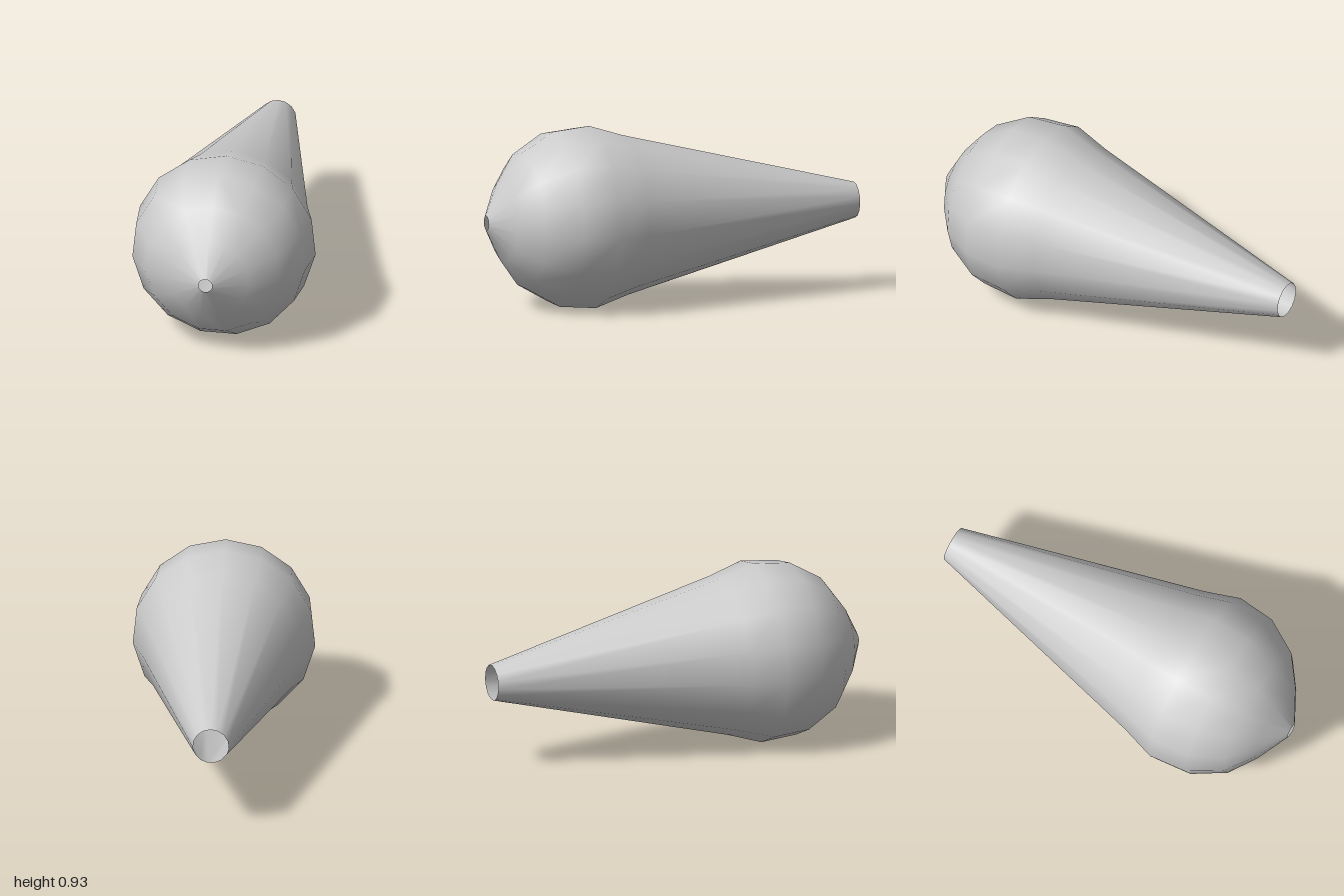
import * as THREE from 'three';

export function createModel() {
  const group = new THREE.Group();
  const material = new THREE.MeshStandardMaterial({ color: 0xcccccc, side: THREE.DoubleSide });

  // Profile as [radius, z], from the open tail to the small hole in the nose
  const profile = [
    [0.092, -1], [0.41, 0.26], [0.468, 0.44], [0.45, 0.635],
    [0.35, 0.805], [0.21, 0.908], [0.036, 1],
  ].map(([r, z]) => new THREE.Vector2(r, z));

  // Fifteen-sided hollow shell lying along z, one corner pointing up
  const shell = new THREE.LatheGeometry(profile, 15, Math.PI);
  shell.rotateX(Math.PI / 2);
  const body = new THREE.Mesh(shell, material);
  body.name = 'hollowTaperedShell';
  body.position.y = 0.461;
  group.add(body);

  return group;
}
